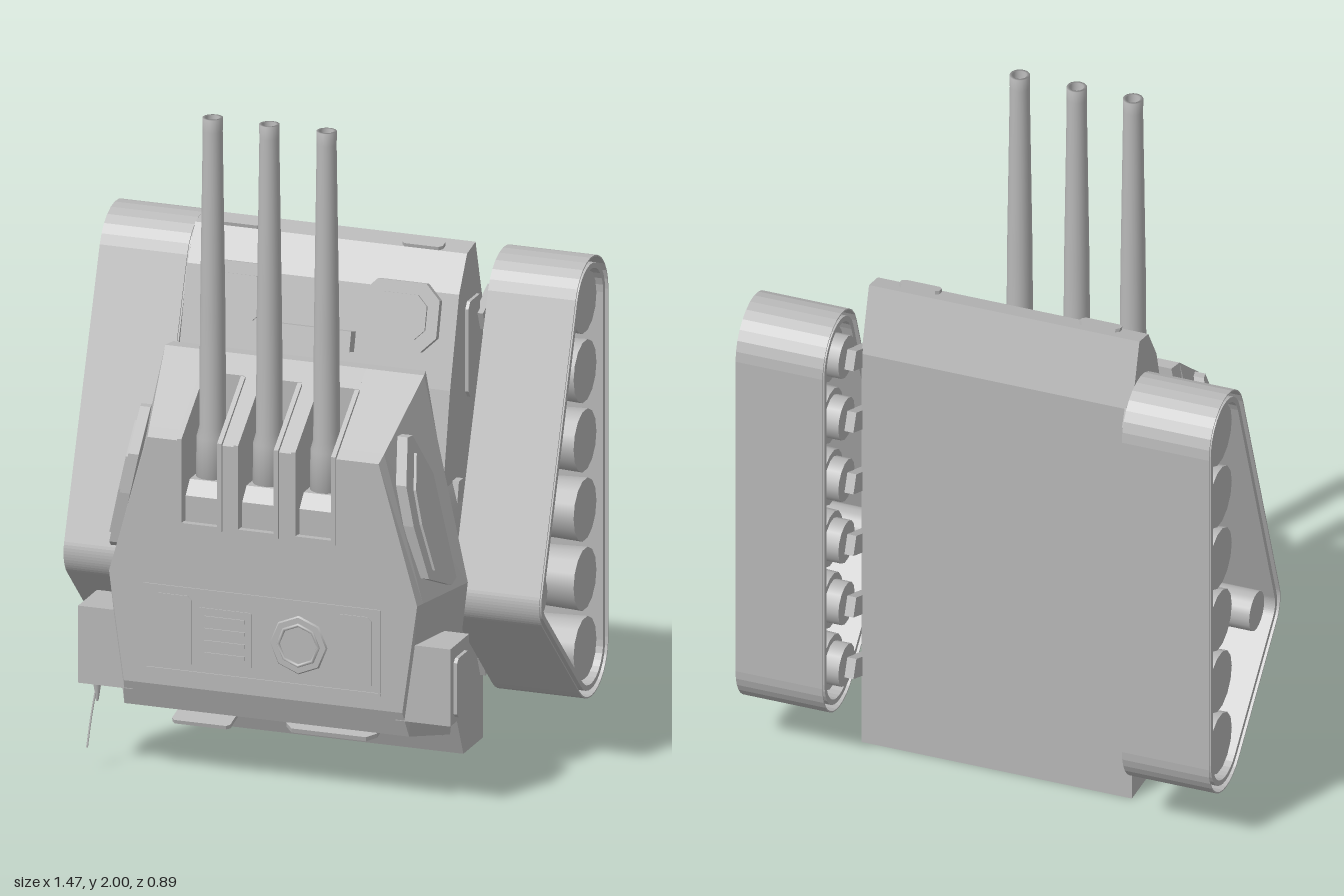
import * as THREE from 'three';

const grey = new THREE.MeshStandardMaterial({ color: 0xb8b8b8 });
grey.name = 'plain grey';

function add(parent, name, geo, x = 0, y = 0, z = 0, rx = 0) {
  const m = new THREE.Mesh(geo, grey);
  m.name = name;
  m.position.set(x, y, z);
  m.rotation.x = rx;
  parent.add(m);
  return m;
}
const shapeOf = pts => new THREE.Shape(pts.map(p => new THREE.Vector2(p[0], p[1])));

// side profile of [z, y] points, extruded from x0 to x1
function slab(pts, x0, x1, hole) {
  const s = shapeOf(pts);
  if (hole) s.holes.push(new THREE.Path(hole.map(p => new THREE.Vector2(p[0], p[1]))));
  const g = new THREE.ExtrudeGeometry(s, { depth: x1 - x0, bevelEnabled: false });
  return g.rotateY(-Math.PI / 2).translate(x1, 0, 0);
}
// cylinder along x from x0 to x1
function rod(r0, r1, x0, x1, sides) {
  return new THREE.CylinderGeometry(r1, r0, x1 - x0, sides).rotateZ(-Math.PI / 2).translate((x0 + x1) / 2, 0, 0);
}
// plate with cut corners, facing +z
function plate(w, h, c, d) {
  const a = w / 2, b = h / 2;
  return new THREE.ExtrudeGeometry(shapeOf([[-a + c, -b], [a - c, -b], [a, -b + c], [a, b - c],
    [a - c, b], [-a + c, b], [-a, b - c], [-a, -b + c]]), { depth: d, bevelEnabled: false });
}
// belt line around three [z, y, radius] wheels
function beltLine(off) {
  const w = [[0.03, 0.545, 0.073 + off], [-0.305, 1.345, 0.118 + off], [-0.305, 0.285, 0.118 + off]];
  const normal = (a, b) => {
    const dz = b[0] - a[0], dy = b[1] - a[1];
    return Math.atan2(dy, dz) - Math.acos((a[2] - b[2]) / Math.hypot(dz, dy));
  };
  const pts = [];
  w.forEach((c, i) => {
    const start = normal(w[(i + 2) % 3], c);
    let end = normal(c, w[(i + 1) % 3]);
    while (end < start) end += Math.PI * 2;
    while (end > start + Math.PI * 2) end -= Math.PI * 2;
    for (let k = 0; k <= 12; k++) {
      const t = start + (end - start) * k / 12;
      pts.push([c[0] + c[2] * Math.cos(t), c[1] + c[2] * Math.sin(t)]);
    }
  });
  return pts;
}
// faceted turret side, lofted through four cross-sections
function wing(s, inner) {
  const rows = [
    [0.14, 0.39, 1.235, 0.50, 0.46, 0.15], [0.18, 0.40, 1.235, 0.535, 0.48, 0.15],
    [0.41, 0.363, 1.062, 0.483, 0.44, 0.21], [0.44, 0.357, 1.04, 0.476, 0.43, 0.29],
  ].map(([z, xt, yt, xm, xb, yb]) => [[inner, yt, z], [xt, yt, z], [xm, 0.62, z], [xb, yb, z], [inner, yb, z]]);
  const v = [];
  const tri = (a, b, c) => (s > 0 ? [a, b, c] : [a, c, b]).forEach(p => v.push(p[0] * s, p[1], p[2]));
  for (let r = 0; r < 3; r++) for (let i = 0; i < 5; i++) {
    const j = (i + 1) % 5, a = rows[r], b = rows[r + 1];
    tri(a[i], b[i], a[j]);
    tri(a[j], b[i], b[j]);
  }
  for (let k = 1; k < 4; k++) {
    tri(rows[0][0], rows[0][k], rows[0][k + 1]);
    tri(rows[3][0], rows[3][k + 1], rows[3][k]);
  }
  const g = new THREE.BufferGeometry();
  g.setAttribute('position', new THREE.Float32BufferAttribute(v, 3));
  g.computeVertexNormals();
  return g;
}

function buildHull() {
  const g = new THREE.Group();
  g.name = 'hull';
  add(g, 'hullBody', slab([[-0.25, 0], [-0.09, 0], [0.08, 0.37], [0.08, 0.84], [0.02, 1.14],
    [-0.055, 1.41], [-0.12, 1.515], [-0.19, 1.53], [-0.25, 1.33]], -0.42, 0.42));
  add(g, 'turretRing', new THREE.CylinderGeometry(0.457, 0.457, 0.16, 48).rotateX(Math.PI / 2), 0, 0.675, 0.03);
  add(g, 'turretNeck', new THREE.CylinderGeometry(0.33, 0.33, 0.04, 40).rotateX(Math.PI / 2), 0, 0.675, 0.125);
  add(g, 'visionBlock', new THREE.BoxGeometry(0.23, 0.06, 0.05), 0, 1.25, 0.005, -0.27);
  for (const s of [-1, 1]) {
    add(g, 'upperHatch', plate(0.24, 0.2, 0.045, 0.022), s * 0.25, 1.335, -0.034, -0.27);
    add(g, 'upperHatchLid', plate(0.17, 0.13, 0.03, 0.01), s * 0.25, 1.34, -0.015, -0.27);
    add(g, 'roofPlate', plate(0.125, 0.04, 0.01, 0.012), s * 0.28, 1.518, -0.14, -1.36);
    // lower grille with slats
    add(g, 'lowerGrille', plate(0.34, 0.135, 0.03, 0.012), s * 0.2, 0.1, -0.044, 0.43);
    for (let i = 0; i < 4; i++)
      add(g, 'grilleSlat', new THREE.BoxGeometry(0.24, 0.009, 0.012), s * 0.2, 0.065 + i * 0.023, -0.048 + i * 0.0106, 0.43);
    // side plates and idler bracket
    const side = (name, pts, d) => add(g, name, slab(pts, s > 0 ? 0.42 : -0.42 - d, s > 0 ? 0.42 + d : -0.42));
    side('sidePlate', [[-0.2, 1.08], [-0.12, 1.08], [-0.105, 1.1], [-0.105, 1.35], [-0.12, 1.37], [-0.2, 1.37]], 0.01);
    side('sidePlate', [[-0.2, 0.13], [-0.1, 0.13], [-0.08, 0.16], [-0.105, 0.49], [-0.2, 0.49]], 0.01);
    side('idlerBracket', [[-0.04, 0.5], [0.06, 0.5], [0.06, 0.58], [0, 0.86], [-0.035, 0.86]], 0.02);
  }
  return g;
}

function buildTrack(s) {
  const g = new THREE.Group();
  g.name = s > 0 ? 'leftTrack' : 'rightTrack';
  const span = (a, b) => s > 0 ? [a, b] : [-b, -a];
  add(g, 'trackTread', slab(beltLine(0.022), ...span(0.465, 0.735), beltLine(0.018)));
  add(g, 'trackBelt', slab(beltLine(0), ...span(0.467, 0.733), beltLine(-0.016)));
  for (let i = 0; i < 6; i++) {
    const y = 1.345 - i * 0.211;
    const [x0, x1] = span(0.49, 0.715);
    add(g, 'roadWheel', rod(s > 0 ? 0.085 : 0.094, s > 0 ? 0.094 : 0.085, x0, x1, 14), 0, y, -0.305);
    add(g, 'wheelHub', rod(0.065, 0.065, ...span(0.445, 0.49), 14), 0, y, -0.305);
    add(g, 'suspensionArm', new THREE.BoxGeometry(0.03, 0.06, 0.13), s * 0.432, y - 0.03, -0.25, 0.4);
  }
  add(g, 'idlerWheel', rod(0.06, 0.06, ...span(0.42, 0.7), 20), 0, 0.545, 0.025);
  return g;
}

function buildTurret() {
  const g = new THREE.Group();
  g.name = 'turret';
  const base = [[0.14, 0.15], [0.18, 0.15], [0.41, 0.21], [0.44, 0.29]];
  const full = [...base, [0.44, 1.04], [0.18, 1.235], [0.14, 1.235]];
  const slotted = [...base, [0.44, 0.79], [0.24, 0.79], [0.24, 1.19], [0.18, 1.235], [0.14, 1.235]];
  add(g, 'turretLeftSide', wing(1, 0.222));
  add(g, 'turretRightSide', wing(-1, 0.26));
  add(g, 'slotDivider', slab(full, -0.13, -0.085));
  add(g, 'slotDivider', slab(full, 0.045, 0.092));
  const lip = [[0.4, 0.785], [0.446, 0.785], [0.446, 1.047], [0.25, 1.192], [0.25, 1.14], [0.4, 1.03]];
  for (const x of [-0.195, -0.02, 0.157]) {
    // gun slot with its raised lips, block and barrel
    add(g, 'gunSlot', slab(slotted, x - 0.065, x + 0.065));
    for (const e of [-0.062, 0.062]) add(g, 'slotLip', slab(lip, x + e - 0.007, x + e + 0.007));
    add(g, 'slotSill', new THREE.BoxGeometry(0.138, 0.014, 0.02), x, 0.785, 0.436);
    add(g, 'gunBlock', slab([[0.24, 0.79], [0.425, 0.79], [0.425, 0.87], [0.39, 0.91], [0.24, 0.91]], x - 0.05, x + 0.05));
    const profile = [[0, 0.89], [0.049, 0.89], [0.047, 1.03], [0.039, 1.06], [0.037, 1.4], [0.029, 1.96],
      [0.03, 2], [0.021, 2], [0.021, 1.9], [0, 1.9]];
    add(g, 'gunBarrel', new THREE.LatheGeometry(profile.map(p => new THREE.Vector2(...p)), 20), x, 0, 0.335);
  }

  // front equipment panel
  const face = 0.437;
  for (const y of [0.338, 0.592]) add(g, 'panelFrame', new THREE.BoxGeometry(0.73, 0.008, 0.014), 0, y, face);
  for (const x of [-0.365, 0.36]) add(g, 'panelFrame', new THREE.BoxGeometry(0.008, 0.26, 0.014), x, 0.465, face);
  add(g, 'panelDoor', plate(0.12, 0.22, 0.012, 0.006), -0.28, 0.46, face);
  add(g, 'panelDoor', plate(0.11, 0.22, 0.012, 0.006), 0.28, 0.46, face);
  add(g, 'ventBox', plate(0.165, 0.17, 0.004, 0.006), -0.117, 0.455, face);
  for (let i = 0; i < 4; i++) add(g, 'ventSlat', new THREE.BoxGeometry(0.125, 0.012, 0.006), -0.117, 0.4 + i * 0.037, 0.444);
  add(g, 'roundHatch', new THREE.CylinderGeometry(0.085, 0.095, 0.012, 8).rotateX(Math.PI / 2), 0.11, 0.46, 0.439);
  add(g, 'roundHatchLid', new THREE.TorusGeometry(0.062, 0.006, 6, 8), 0.11, 0.46, 0.444);

  // underside plates
  add(g, 'undersidePlate', plate(0.18, 0.15, 0.01, 0.012), -0.22, 0.182, 0.3, 1.826);
  add(g, 'undersidePlate', plate(0.28, 0.09, 0.025, 0.014), 0.17, 0.184, 0.31, 1.826);

  for (const s of [-1, 1]) {
    // six-sided armour panel leaning with the turret side
    const panel = (name, pts, lift, d) => {
      const geo = slab(pts, s > 0 ? lift : -lift - d, s > 0 ? lift + d : -lift);
      const p = geo.attributes.position;
      for (let i = 0; i < p.count; i++)
        p.setX(i, p.getX(i) + s * (0.535 - 0.2195 * (p.getY(i) - 0.62) - 0.226 * (p.getZ(i) - 0.18)));
      geo.computeVertexNormals();
      add(g, name, geo);
    };
    panel('sidePanel', [[0.26, 0.66], [0.29, 0.645], [0.39, 0.69], [0.41, 0.85], [0.405, 0.97], [0.35, 1.1], [0.325, 1.1], [0.265, 0.97]], -0.01, 0.032);
    panel('sidePanelLid', [[0.28, 0.69], [0.365, 0.71], [0.38, 0.85], [0.375, 0.95], [0.335, 1.05], [0.285, 0.95]], 0.02, 0.01);
    // side pod
    add(g, 'sidePod', new THREE.BoxGeometry(0.17, 0.235, 0.155), s * 0.49, 0.38, 0.353);
    add(g, 'sidePodCap', plate(0.1, 0.18, 0.012, 0.012).rotateY(s * Math.PI / 2), s * 0.574, 0.37, 0.353);
  }
  // whip antenna under the right pod
  const whip = new THREE.CatmullRomCurve3([[-0.53, 0.27, 0.385], [-0.542, 0.17, 0.405], [-0.546, 0.07, 0.435]]
    .map(p => new THREE.Vector3(...p)));
  add(g, 'antenna', new THREE.TubeGeometry(whip, 8, 0.003, 6));
  add(g, 'antennaBase', new THREE.CylinderGeometry(0.015, 0.004, 0.07, 8), -0.532, 0.235, 0.388);
  return g;
}

export function createModel() {
  const model = new THREE.Group();
  model.name = 'tank';
  model.add(buildHull(), buildTrack(1), buildTrack(-1), buildTurret());
  return model;
}
